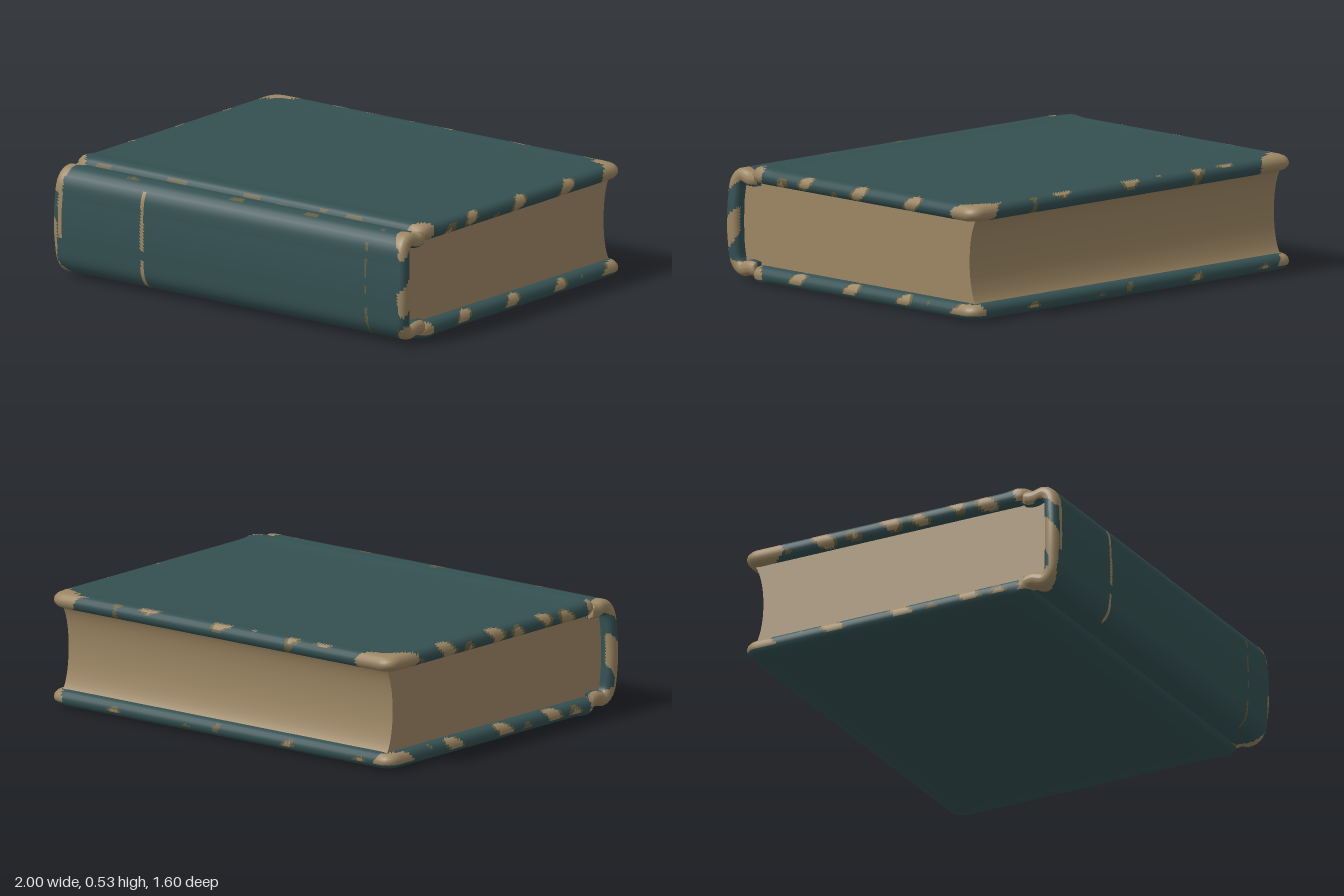
import * as THREE from 'three';
import { toCreasedNormals } from 'three/addons/utils/BufferGeometryUtils.js';

const mat = (name, color) => {
  const m = new THREE.MeshStandardMaterial({ color });
  m.name = name;
  return m;
};

// Smooth repeatable wear pattern, range about -3..3
const noise = (x, y, z) =>
  Math.sin(x * 31 + 1.3) + Math.sin(x * 13 + z * 17 + y * 29) + Math.sin(z * 37 + y * 19 + 0.7);

// Skin closed rings of [x, y, z] points, running counter-clockwise about the loft direction
function loft(rings) {
  const n = rings[0].length, index = [];
  for (let j = 0; j < rings.length - 1; j++) {
    for (let i = 0; i < n; i++) {
      const k = (i + 1) % n;
      const a = j * n + i, b = j * n + k, c = b + n, d = a + n;
      index.push(a, b, c, a, c, d);
    }
  }
  const geo = new THREE.BufferGeometry();
  geo.setAttribute('position', new THREE.Float32BufferAttribute(rings.flat(2), 3));
  geo.setIndex(index);
  geo.computeVertexNormals();
  return geo;
}

// Sort triangles into material groups by a rule on the triangle centre
function paint(geo, rule) {
  const p = geo.attributes.position, idx = geo.index.array, buckets = [[], [], []];
  for (let t = 0; t < idx.length; t += 3) {
    const tri = [idx[t], idx[t + 1], idx[t + 2]];
    const mid = (f) => tri.reduce((s, i) => s + p[f](i), 0) / 3;
    buckets[rule(mid('getX'), mid('getY'), mid('getZ'))].push(...tri);
  }
  geo.setIndex(buckets.flat());
  let start = 0;
  buckets.forEach((b, m) => {
    if (b.length) geo.addGroup(start, b.length, m);
    start += b.length;
  });
  return geo;
}

const CLOTH = 0, WORN = 1, FADED = 2;
const HX = 0.992, HZ = 0.7275, CZ = -0.0725;

// Rounded-edge cover board; side is 1 for the upper board, -1 for the lower
function boardGeometry(yMid, side) {
  const r = 0.06;
  const plan = new THREE.Shape();
  plan.absarc(HX - r, HZ - r, r, 0, Math.PI / 2);
  plan.absarc(-HX + r, HZ - r, r, Math.PI / 2, Math.PI);
  plan.absarc(-HX + r, -HZ + r, r, Math.PI, Math.PI * 1.5);
  plan.absarc(HX - r, -HZ + r, r, Math.PI * 1.5, Math.PI * 2);
  plan.closePath();
  const outline = plan.getSpacedPoints(420).slice(0, -1);

  // inset and height of the upper half of the edge profile
  const half = [[0.003, 0.014], [0.012, 0.027], [0.026, 0.034], [0.045, 0.037], [0.07, 0.035],
    [0.09, 0.033], [0.11, 0.033], [0.13, 0.033], [0.15, 0.033], [0.17, 0.033], [0.19, 0.033],
    [0.21, 0.033], [0.4, 0.033], [1, 0.033]];
  const profile = [...half.map(([d, h]) => [d, -h]).reverse(), [0, 0], ...half];

  return loft(profile.map(([d, h]) => outline.map((p) => {
    const x = p.x * Math.max(0, HX - d) / HX;
    const z = CZ - p.y * Math.max(0, HZ - d) / HZ;
    // low ridge beside the hinge, on the outer face
    const ridge = h * side > 0 ? side * 0.008 * Math.exp(-(((z - 0.6) / 0.05) ** 2)) : 0;
    return [x, yMid + h + ridge, z];
  })));
}

// Rubbed corners and chipped edges of a board
const boardWear = (upper) => (x, y, z) => {
  const dx = HX - Math.abs(x), back = z + 0.8, front = 0.655 - z;
  const n = noise(x, y, z);
  if (!upper && y < 0.03) return CLOTH;
  const reach = (upper ? (x < 0 ? 0.2 : 0.16) : 0.1) + n * 0.012;
  if (dx + back < reach) return WORN;
  if (dx + front < (x > 0 ? 0.1 : 0.07) + n * 0.012) return WORN;
  const edge = Math.min(dx, back);
  if (edge < 0.035 && n > 1.55) return WORN;
  if (edge < 0.03 && n > 1.05) return FADED;
  if (upper && front < 0.015 && n > 0.9) return FADED;
  return CLOTH;
};

// Curved spine: a thick strip swept along the length with rounded ends
function spineGeometry() {
  const top = [[0.625, 0.474], [0.665, 0.468], [0.72, 0.479], [0.752, 0.45], [0.763, 0.36]];
  const path = [...top, [0.766, 0.2675], ...top.map(([z, y]) => [z, 0.535 - y]).reverse()];
  const curve = new THREE.CatmullRomCurve3(path.map(([z, y]) => new THREE.Vector3(0, y, z)));
  const N = 44, centre = [];
  for (let i = 0; i <= N; i++) {
    const p = curve.getPointAt(i / N), t = curve.getTangentAt(i / N);
    centre.push([p.z, p.y, -t.y, t.z]);
  }
  const ends = [0, 0.001, 0.004, 0.008, 0.014, 0.021, 0.03];
  const stations = ends.map((e) => -1 + e);
  for (let x = -0.96; x < 0.965; x += 0.01) stations.push(x);
  stations.push(...ends.map((e) => 1 - e).reverse());

  return loft(stations.map((x) => {
    const e = Math.min((1 - Math.abs(x)) / 0.03, 1);
    const t = 0.034 * Math.sqrt(Math.max(0, 1 - (1 - e) ** 2));
    const at = ([z, y, nz, ny], s) =>
      [x * (1 - 0.015 * ((y - 0.2675) / 0.22) ** 2), y + ny * t * s, z + nz * t * s];
    return [
      ...centre.map((c) => at(c, 1)),
      ...centre.slice().reverse().map((c) => at(c, -1)),
    ];
  }));
}

// Rubbed ends, cracked bands and flecked shoulders of the spine
function spineWear(x, y, z) {
  const e = 1 - Math.abs(x), n = noise(x, y, z);
  const corner = Math.min(y, 0.535 - y);
  if (e + corner < 0.11 + n * 0.014) return WORN;
  if (e < 0.035 && n > 0.3) return WORN;
  if (z > 0.75) {
    if (Math.abs(x + 0.95) < 0.012 && y > 0.19 && y < 0.5) return WORN;
    const crack = Math.sin(y * 60) + Math.sin(y * 23);
    if (Math.abs(x + 0.485) < 0.009 && crack > -0.9) return WORN;
    if (Math.abs(x - 0.785) < 0.006 && crack > -0.2) return FADED;
  }
  if (y > 0.49 && z > 0.7 && z < 0.74 && n > 0.8) return n > 1.9 ? WORN : FADED;
  return CLOTH;
}

// Page block with a hollow fore edge and a back that follows the spine
function pagesGeometry() {
  const s = new THREE.Shape();
  s.moveTo(-0.765, 0.07);
  s.lineTo(0.71, 0.07);
  s.quadraticCurveTo(0.76, 0.2675, 0.71, 0.465);
  s.lineTo(-0.765, 0.465);
  s.bezierCurveTo(-0.705, 0.39, -0.705, 0.145, -0.765, 0.07);
  const geo = new THREE.ExtrudeGeometry(s, { depth: 1.88, bevelEnabled: false, curveSegments: 20 });
  geo.rotateY(-Math.PI / 2);
  geo.translate(0.94, 0, 0);
  return toCreasedNormals(geo, 0.5);
}

export function createModel() {
  const cloth = mat('teal cloth', 0x345052);
  const paper = mat('tan paper', 0x9c8663);
  const faded = mat('faded olive', 0x665f40);
  const cover = [cloth, paper, faded];

  const book = new THREE.Group();
  book.name = 'book';
  const add = (name, geo, material) => {
    const mesh = new THREE.Mesh(geo, material);
    mesh.name = name;
    book.add(mesh);
  };

  add('upperCover', paint(boardGeometry(0.49, 1), boardWear(true)), cover);
  add('lowerCover', paint(boardGeometry(0.045, -1), boardWear(false)), cover);
  add('spine', paint(spineGeometry(), spineWear), cover);
  add('pages', pagesGeometry(), paper);
  return book;
}
